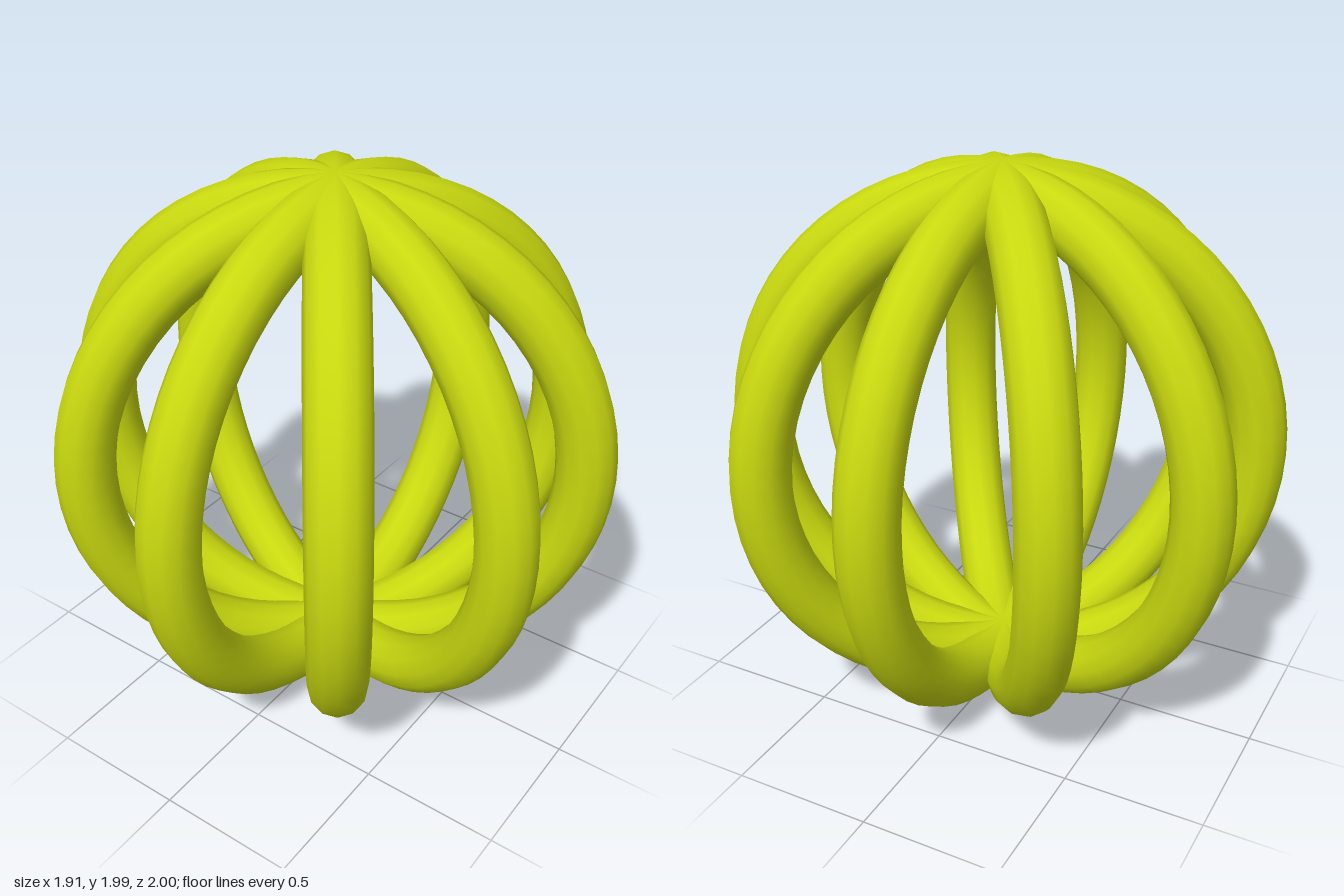
import * as THREE from 'three';

export function createModel() {
  const group = new THREE.Group();
  group.name = 'ringCage';
  const lime = new THREE.MeshStandardMaterial({ color: 0xc8d80f });
  lime.name = 'lime';

  const TUBE = 0.105;
  const RINGS = 5;
  // Upright ring lying in the plane x = 0, very slightly flattened
  const ring = new THREE.TorusGeometry(1 - TUBE, TUBE, 12, 64);
  ring.rotateY(Math.PI / 2);
  ring.scale(1, 0.995, 1);

  // Rings crossing at both poles, evenly turned about the vertical axis
  for (let i = 0; i < RINGS; i++) {
    const mesh = new THREE.Mesh(ring, lime);
    mesh.name = `ring${i + 1}`;
    mesh.position.y = 0.995;
    mesh.rotation.y = (i * Math.PI) / RINGS;
    group.add(mesh);
  }
  return group;
}
